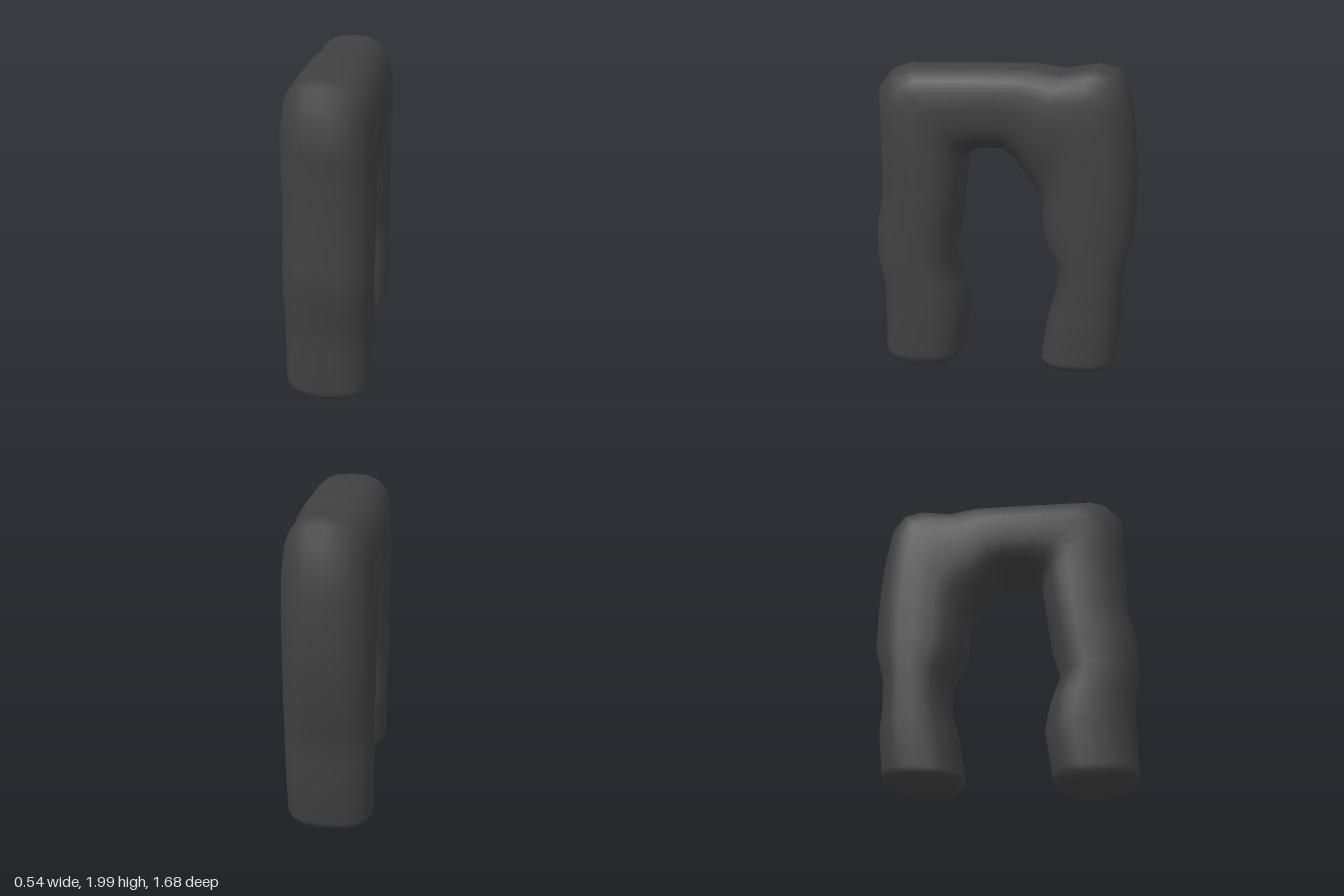
import * as THREE from 'three';

// Outer and inner edge of the arch in side view, front foot to back foot:
// [outer z, outer y, inner z, inner y]
const EDGES = [
  [0.8, 0.12, 0.28, 0.12],
  [0.8, 0.42, 0.24, 0.4],
  [0.8, 0.57, 0.28, 0.57],
  [0.84, 0.75, 0.35, 0.75],
  [0.84, 0.96, 0.295, 0.96],
  [0.8, 1.18, 0.27, 1.18],
  [0.8, 1.6, 0.25, 1.35],
  [0.8, 1.86, 0.25, 1.41],
  [0.7, 1.97, 0.23, 1.43],
  [0.6, 2.0, 0.2, 1.45],
  [0.33, 2.0, 0.12, 1.47],
  [0, 2.0, 0, 1.47],
  [-0.2, 2.0, -0.07, 1.42],
  [-0.38, 1.97, -0.13, 1.33],
  [-0.59, 2.0, -0.18, 1.26],
  [-0.71, 1.97, -0.21, 1.21],
  [-0.78, 1.86, -0.23, 1.18],
  [-0.82, 1.6, -0.25, 1.13],
  [-0.84, 1.3, -0.25, 1.04],
  [-0.84, 0.96, -0.25, 0.93],
  [-0.78, 0.75, -0.35, 0.75],
  [-0.77, 0.57, -0.35, 0.57],
  [-0.78, 0.4, -0.3, 0.42],
  [-0.75, 0.14, -0.25, 0.12],
];
const HALF_WIDTH = 0.27;
const SIDES = 24;
const CAP_STEPS = 4;

const soften = (v, power) => Math.sign(v) * Math.pow(Math.abs(v), power);

// Rounded-rectangle ring between an outer and an inner edge point
function ring([oz, oy, iz, iy], scale = 1, drop = 0) {
  return Array.from({ length: SIDES }, (_, j) => {
    const a = (j / SIDES) * Math.PI * 2;
    const c = (soften(Math.cos(a), 0.74) * scale) / 2;
    return [
      0.005 + HALF_WIDTH * scale * soften(Math.sin(a), 0.74),
      (oy + iy) / 2 - drop + c * (oy - iy),
      (oz + iz) / 2 + c * (oz - iz),
    ];
  });
}

// Rings that shrink downward to round off a foot
function footRings(edge, depth) {
  return Array.from({ length: CAP_STEPS }, (_, i) => {
    const a = ((i + 1) / CAP_STEPS) * Math.PI * 0.49;
    return ring(edge, Math.pow(Math.cos(a), 0.6), depth * Math.sin(a));
  });
}

// Skins the rings from one sole to the other
function archGeometry() {
  const rings = [
    ...footRings(EDGES[0], 0.11).reverse(),
    ...EDGES.map((edge) => ring(edge)),
    ...footRings(EDGES[EDGES.length - 1], 0.09),
  ];
  const index = [];
  const last = (rings.length - 1) * SIDES;
  for (let p = 0; p < last; p += SIDES) {
    const q = p + SIDES;
    for (let j = 0; j < SIDES; j++) {
      const k = (j + 1) % SIDES;
      index.push(p + j, p + k, q + j, p + k, q + k, q + j);
    }
  }
  // Close both soles
  for (let j = 1; j < SIDES - 1; j++) {
    index.push(0, j + 1, j, last, last + j, last + j + 1);
  }
  const geometry = new THREE.BufferGeometry();
  geometry.setAttribute('position', new THREE.Float32BufferAttribute(rings.flat(2), 3));
  geometry.setIndex(index);
  geometry.computeVertexNormals();
  return geometry;
}

export function createModel() {
  const model = new THREE.Group();
  model.name = 'archModel';
  const arch = new THREE.Mesh(
    archGeometry(),
    new THREE.MeshStandardMaterial({ color: 0x404040 })
  );
  arch.name = 'arch';
  model.add(arch);
  return model;
}
